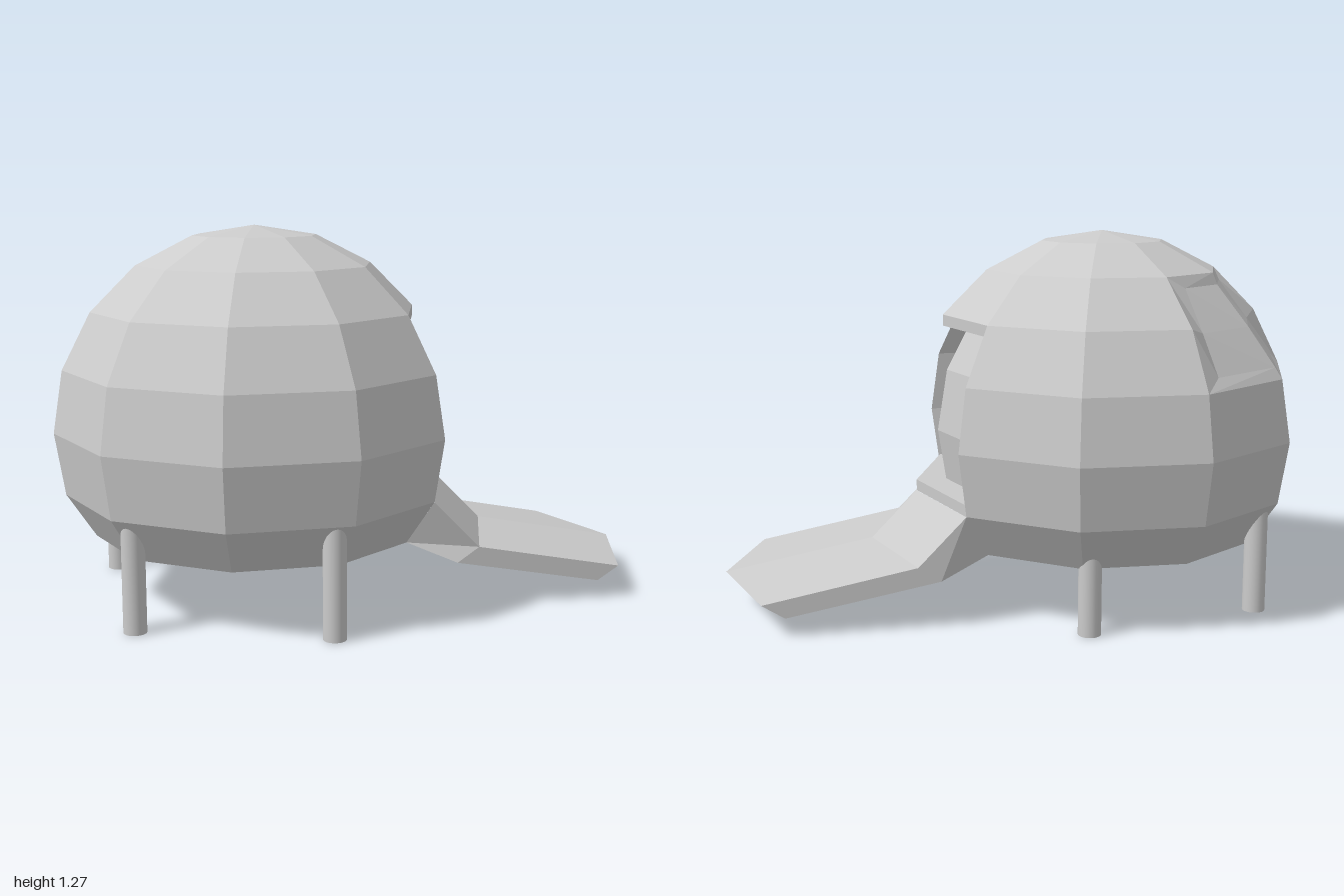
import * as THREE from 'three';

const SIDES = 10, CX = -0.315, CY = 0.585, R = 0.685;
const grey = new THREE.MeshStandardMaterial({ color: 0xcccccc, flatShading: true });
const thin = new THREE.MeshStandardMaterial({ color: 0xcccccc, flatShading: true, side: THREE.DoubleSide });
const smooth = new THREE.MeshStandardMaterial({ color: 0xcccccc });

// Rings of the dome, from the cut-off base to just below the top: [radius, height]
const rings = [[R * Math.cos(Math.PI / 5), 0.225]];
for (let i = -1; i <= 4; i++) {
  const a = (i * Math.PI) / 10;
  rings.push([R * Math.cos(a), CY + R * Math.sin(a)]);
}

// Point on a ten-sided ring; k counts corners, starting at +x
function polar(k, r, y) {
  const a = (k * 2 * Math.PI) / SIDES;
  return new THREE.Vector3(CX + r * Math.cos(a), y, r * Math.sin(a));
}
const ringPoint = (k, row) => polar(k, ...rings[row]);

// Flat-shaded mesh from triangles and quads
function facets(name, faces, material) {
  const pts = [];
  for (const f of faces) for (let i = 1; i < f.length - 1; i++) pts.push(f[0], f[i], f[i + 1]);
  const geometry = new THREE.BufferGeometry().setFromPoints(pts);
  geometry.computeVertexNormals();
  const mesh = new THREE.Mesh(geometry, material);
  mesh.name = name;
  return mesh;
}

// Faceted dome with gaps for the doorway and the window
function makeShell() {
  const faces = [], base = [];
  for (let k = -1; k < SIDES - 1; k++) {
    for (let row = 0; row < rings.length - 1; row++) {
      const door = k < 1 && row < 4;
      const window = (k === 5 || k === 6) && (row === 3 || row === 4);
      if (door || window) continue;
      faces.push([ringPoint(k, row), ringPoint(k, row + 1), ringPoint(k + 1, row + 1), ringPoint(k + 1, row)]);
    }
    const last = rings.length - 1;
    faces.push([ringPoint(k, last), new THREE.Vector3(CX, CY + R, 0), ringPoint(k + 1, last)]);
    base.push(ringPoint(k, 0));
  }
  faces.push(base);
  return facets('domeShell', faces, thin);
}

// Doorway: recessed panel, jambs, lintel and sill
function makeDoorway() {
  const group = new THREE.Group();
  group.name = 'doorway';
  const back = (p) => p.clone().add(new THREE.Vector3(-0.11, 0, 0));
  const panel = [], jambs = [];
  for (let row = 1; row < 4; row++) {
    for (let k = -1; k < 1; k++) {
      panel.push([ringPoint(k, row), ringPoint(k, row + 1), ringPoint(k + 1, row + 1), ringPoint(k + 1, row)].map(back));
    }
    for (const k of [-1, 1]) {
      const lo = ringPoint(k, row), hi = ringPoint(k, row + 1);
      jambs.push([lo, hi, back(hi), back(lo)]);
    }
  }
  group.add(facets('doorPanel', panel, thin), facets('doorJambs', jambs, thin));

  for (const [name, row, dy] of [['doorLintel', 4, -0.038], ['doorSill', 1, 0.038]]) {
    const [r, y] = rings[row];
    const faces = [];
    for (let k = -1; k < 1; k++) {
      const a = polar(k, r, y + dy), b = polar(k + 1, r, y + dy);
      faces.push([ringPoint(k, row), a, b, ringPoint(k + 1, row)]);
      faces.push([a, back(a), back(b), b]);
    }
    group.add(facets(name, faces, thin));
  }
  return group;
}

// Window: sloping frame around a slightly sunken pane over two columns
function makeWindow() {
  const group = new THREE.Group();
  group.name = 'window';
  const outer = [3, 4, 5].map((row) => [5, 6, 7].map((k) => ringPoint(k, row)));
  const inner = [[0.6, 0.626, 0.835], [0.51, 0.53, 0.965], [0.407, 0.418, 1.1]].map(([rs, rm, y]) => {
    const turn = Math.asin(0.075 / rs) / (Math.PI / 5);
    return [polar(5 + turn, rs, y), polar(6, rm, y), polar(7 - turn, rs, y)];
  });
  const pane = [], frame = [];
  for (let i = 0; i < 2; i++) {
    for (let j = 0; j < 2; j++) pane.push([inner[i][j], inner[i + 1][j], inner[i + 1][j + 1], inner[i][j + 1]]);
  }
  const loop = [[0, 0], [1, 0], [2, 0], [2, 1], [2, 2], [1, 2], [0, 2], [0, 1]];
  loop.forEach(([i, j], n) => {
    const [p, q] = loop[(n + 1) % loop.length];
    frame.push([outer[i][j], outer[p][q], inner[p][q], inner[i][j]]);
  });
  group.add(facets('windowPane', pane, thin), facets('windowFrame', frame, thin));
  return group;
}

// Pointed ramp: top line out, underside back; [side x, centre x, y, half width]
function makeRamp() {
  const rows = [
    [0.212, 0.337, 0.373, 0.383], [0.37, 0.495, 0.21, 0.383], [0.875, 1, 0.11, 0.383],
    [0.8, 0.91, 0.063, 0.383], [0.295, 0.415, 0.16, 0.383], [0.133, 0.239, 0.225, 0.326],
  ].map(([xs, xc, y, w]) => [
    new THREE.Vector3(xs, y, w), new THREE.Vector3(xc, y, 0), new THREE.Vector3(xs, y, -w),
  ]);
  const faces = [];
  for (let i = 0; i < rows.length - 1; i++) {
    for (let j = 0; j < 2; j++) faces.push([rows[i][j], rows[i + 1][j], rows[i + 1][j + 1], rows[i][j + 1]]);
  }
  for (const ids of [[5, 4, 1, 0], [4, 3, 2, 1]]) {
    faces.push(ids.map((i) => rows[i][0]));
    faces.push(ids.map((i) => rows[i][2]).reverse());
  }
  return facets('ramp', faces, grey);
}

export function createModel() {
  const model = new THREE.Group();
  model.name = 'domePod';
  model.add(makeShell(), makeDoorway(), makeWindow(), makeRamp());

  // Four round legs running up into the dome
  const legGeometry = new THREE.CylinderGeometry(0.038, 0.038, 0.4, 20).translate(0, 0.2, 0);
  for (const [x, z] of [[-0.775, 0.367], [-0.775, -0.367], [-0.17, 0.577], [-0.17, -0.513]]) {
    const leg = new THREE.Mesh(legGeometry, smooth);
    leg.name = 'leg';
    leg.position.set(x, 0, z);
    model.add(leg);
  }
  return model;
}
